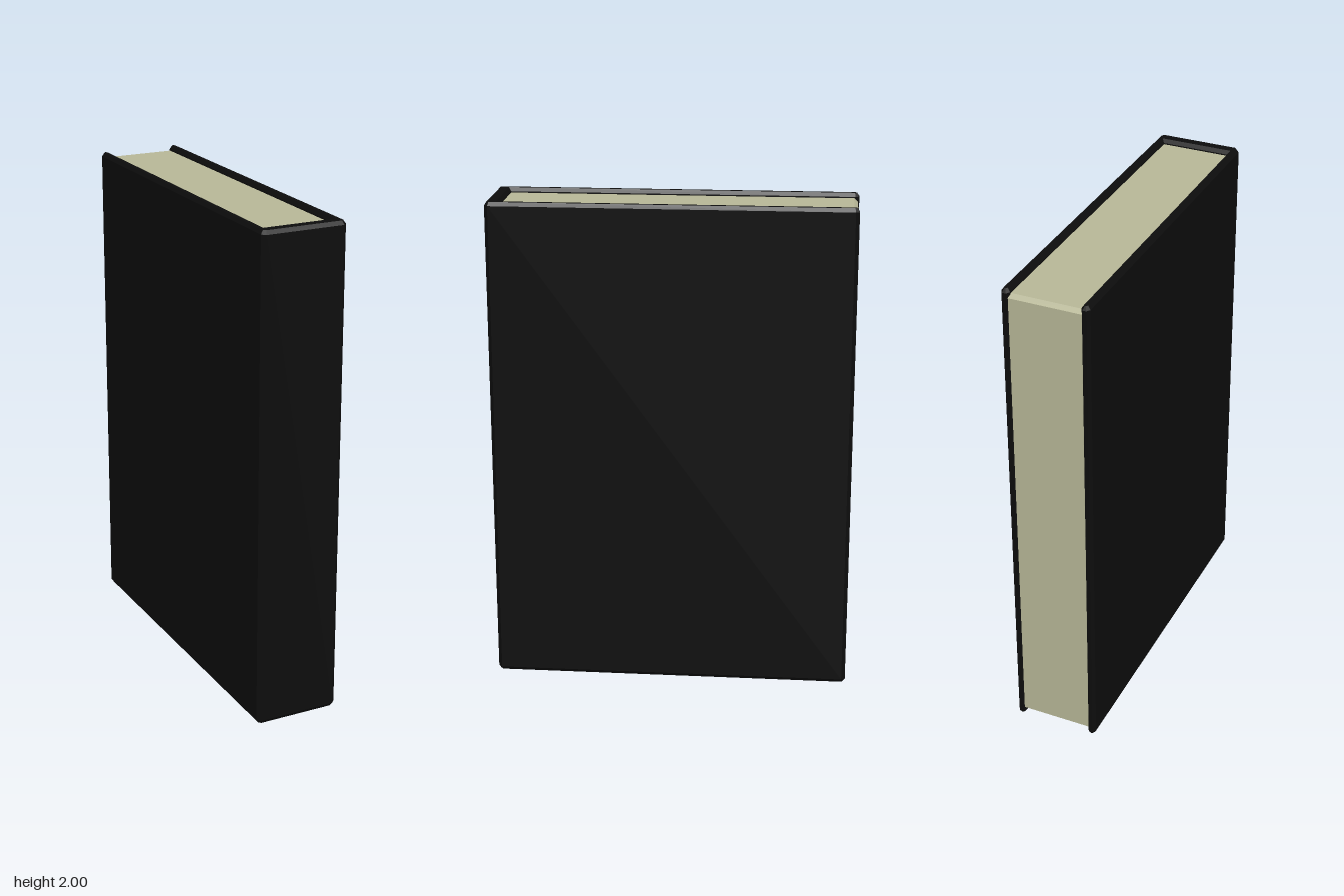
import * as THREE from 'three';

const shapeOf = (points) => new THREE.Shape(points.map(([a, b]) => new THREE.Vector2(a, b)));

export function createModel() {
  const book = new THREE.Group();
  book.name = 'book';
  const coverMaterial = new THREE.MeshStandardMaterial({ color: 0x0d0d0d });
  const pageMaterial = new THREE.MeshStandardMaterial({ color: 0xb8b898 });

  const W = 0.175, D = 0.73, H = 2; // half width, half depth, height
  const bevel = 0.015;
  const innerX = 0.14, spineZ = 0.675;

  // Cover: U-shaped section (two boards and the spine) with chamfered edges
  const half = [
    [innerX, -spineZ],
    [innerX, D - bevel],
    [innerX + 0.01, D],
    [W - 0.01, D],
    [W, D - bevel],
    [W, -D + bevel],
    [W - bevel, -D],
  ];
  const outline = [...half, ...half.map(([x, y]) => [-x, y]).reverse()];
  const coverGeometry = new THREE.ExtrudeGeometry(shapeOf(outline), {
    depth: H - 2 * bevel,
    bevelEnabled: true,
    bevelThickness: bevel,
    bevelSize: 0.01,
    bevelOffset: -0.01,
    bevelSegments: 1,
  });
  coverGeometry.rotateX(-Math.PI / 2).translate(0, bevel, 0);
  const cover = new THREE.Mesh(coverGeometry, coverMaterial);
  cover.name = 'cover';
  book.add(cover);

  // Page block: side profile with a chamfered fore-edge, set between the boards
  const low = 0.02, high = H - 0.02, back = D - 0.005, c = 0.015;
  const pageProfile = shapeOf([
    [-spineZ - 0.01, low],
    [back - c, low],
    [back, low + c],
    [back, high - c],
    [back - c, high],
    [-spineZ - 0.01, high],
  ]);
  const pageWidth = 2 * innerX + 0.01;
  const pageGeometry = new THREE.ExtrudeGeometry(pageProfile, { depth: pageWidth, bevelEnabled: false });
  pageGeometry.translate(0, 0, -pageWidth / 2).rotateY(Math.PI / 2);
  const pages = new THREE.Mesh(pageGeometry, pageMaterial);
  pages.name = 'pages';
  book.add(pages);

  return book;
}
